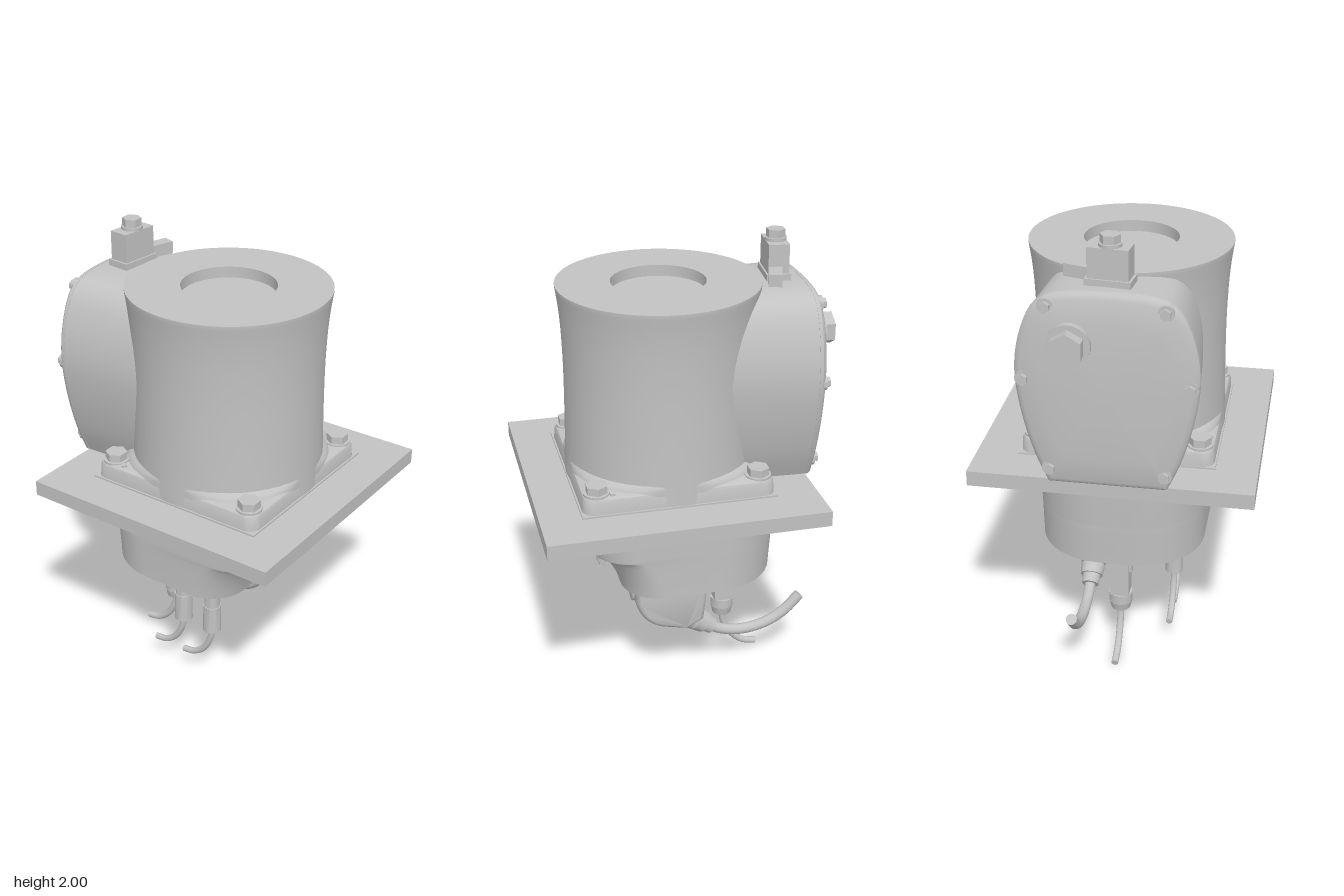
import * as THREE from 'three';
import { toCreasedNormals } from 'three/addons/utils/BufferGeometryUtils.js';

const grey = new THREE.MeshStandardMaterial({ color: 0xc2c2c2 });
grey.name = 'housing grey';
const CX = 0.055; // axis of the drum

export function createModel() {
  const model = new THREE.Group();
  model.name = 'flangedHousing';

  const add = (name, geo, x = 0, y = 0, z = 0) => {
    const mesh = new THREE.Mesh(toCreasedNormals(geo, 0.6), grey);
    mesh.name = name;
    mesh.position.set(x, y, z);
    model.add(mesh);
    return mesh;
  };
  const box = (name, w, h, d, x, y, z) => add(name, new THREE.BoxGeometry(w, h, d), x, y, z);
  // Upright cylinder or prism between two heights
  const post = (name, r, y0, y1, x, z, sides = 24, rTop = r) =>
    add(name, new THREE.CylinderGeometry(rTop, r, y1 - y0, sides), x, (y0 + y1) / 2, z);
  // Cylinder along x between two positions
  const peg = (name, r, x0, x1, y, z, sides = 24) => {
    const g = new THREE.CylinderGeometry(r, r, x1 - x0, sides);
    if (sides === 6) g.rotateY(Math.PI / 2);
    return add(name, g.rotateZ(Math.PI / 2), (x0 + x1) / 2, y, z);
  };
  const cable = (name, r, pts) => {
    const path = new THREE.CatmullRomCurve3(pts.map(p => new THREE.Vector3(...p)));
    add(name, new THREE.TubeGeometry(path, 40, r, 14));
    for (const t of [0, 1]) {
      const end = add(name + 'End', new THREE.CircleGeometry(r, 14));
      end.position.copy(path.getPoint(t));
      end.lookAt(end.position.clone().addScaledVector(path.getTangent(t), t ? 1 : -1));
    }
  };

  // Skin through equal rings, wound counter-clockwise about the loft direction
  const loft = rings => {
    const n = rings[0].length, index = [], pos = rings.flat(2);
    rings.slice(1).forEach((_, k) => {
      for (let i = 0; i < n; i++) {
        const a = k * n + i, b = k * n + (i + 1) % n;
        index.push(a, b, b + n, a, b + n, a + n);
      }
    });
    [0, rings.length - 1].forEach((k, top) => {
      const c = pos.length / 3;
      for (let j = 0; j < 3; j++) pos.push(rings[k].reduce((s, p) => s + p[j], 0) / n);
      for (let i = 0; i < n; i++) {
        const a = k * n + i, b = k * n + (i + 1) % n;
        index.push(c, ...(top ? [a, b] : [b, a]));
      }
    });
    const g = new THREE.BufferGeometry();
    g.setAttribute('position', new THREE.Float32BufferAttribute(pos, 3));
    g.setIndex(index);
    return g;
  };
  // Horizontal rounded rectangle, with its own corner radius on the -x and +x sides
  const rounded = (y, x0, x1, h, r0, r1 = r0) => {
    const ring = [];
    [[x1 - r1, -1, r1], [x0 + r0, -1, r0], [x0 + r0, 1, r0], [x1 - r1, 1, r1]].forEach(([x, side, r], q) => {
      for (let i = 0; i <= 10; i++) {
        const a = (q + i / 10) * Math.PI / 2;
        ring.push([x + r * Math.cos(a), y, side * (h - r) - r * Math.sin(a)]);
      }
    });
    return ring;
  };

  // Flared drum with a shallow round recess on top
  const outer = new THREE.SplineCurve([[0.402, 1], [0.396, 1.2], [0.393, 1.45], [0.397, 1.62],
    [0.405, 1.73], [0.416, 1.815]].map(p => new THREE.Vector2(...p))).getPoints(24);
  const inner = [[0.416, 1.822], [0.193, 1.822], [0.193, 1.775], [0, 1.775]].map(p => new THREE.Vector2(...p));
  add('drum', new THREE.LatheGeometry([...outer, ...inner], 80), CX);

  // Mounting plate, gasket, rounded square flange and the fillet up to the drum
  box('mountingPlate', 1.15, 0.065, 1.156, CX, 0.9675, 0);
  box('gasket', 0.806, 0.008, 0.81, CX + 0.002, 1.003, 0);
  const square = ([y, h, r]) => rounded(y, CX - h, CX + h, h, r);
  add('flange', loft([[1, 0.398, 0.05], [1.055, 0.395, 0.05], [1.068, 0.39, 0.05], [1.074, 0.38, 0.05]].map(square)));
  add('drumFillet', loft([[1.05, 0.395, 0.3], [1.078, 0.395, 0.32], [1.09, 0.395, 0.35], [1.1, 0.394, 0.38]].map(square)));
  for (const sx of [-1, 1]) for (const sz of [-1, 1]) {
    const x = CX + sx * 0.335, z = sz * 0.335;
    post('flangeWasher', 0.054, 1.07, 1.08, x, z);
    post('flangeBolt', 0.046, 1.08, 1.112, x, z, 6);
    post('plateScrew', 0.013, 0.931, 0.936, CX + sx * 0.43, sz * 0.42, 12);
  }
  post('dowelPin', 0.012, 1.07, 1.082, 0.33, -0.365, 12);
  post('dowelPin', 0.012, 1.07, 1.082, -0.215, 0.365, 12);

  // Lower housing, undercut along its left side
  add('lowerHousing', loft([[0.545, -0.41, 0.27, 0.35], [0.6, -0.413, 0.285, 0.35],
    [0.65, -0.416, 0.31, 0.351], [0.7, -0.419, 0.34, 0.351], [0.722, -0.42, 0.365, 0.352],
    [0.73, -0.42, 0.395, 0.352], [0.74, -0.421, 0.4, 0.352], [0.94, -0.43, 0.402, 0.357]]
    .map(([y, x0, x1, h]) => rounded(y, x0, x1, h, 0.28, 0.17))));
  for (const z of [-0.22, 0.22]) {
    post('undercutScrew', 0.022, 0.695, 0.73, 0.355, z);
    post('undercutScrewHead', 0.015, 0.672, 0.7, 0.355, z, 6);
  }

  // Bulging side housing, narrowing toward the drum
  const half = [[0.235, 1], [0.29, 1.13], [0.335, 1.3], [0.355, 1.47], [0.335, 1.62], [0.28, 1.745], [0.19, 1.798]];
  const outline = new THREE.SplineCurve([...half, [0, 1.81], ...half.map(([z, y]) => [-z, y]).reverse()]
    .map(p => new THREE.Vector2(...p))).getPoints(60);
  const section = (x, sz, sy) => outline.map(p => [x, 1.41 + (p.y - 1.41) * sy, p.x * sz]);
  add('sideHousing', loft([[-0.16, 0.905, 1], [-0.3, 0.95, 1], [-0.525, 1, 1]].map(s => section(...s))));
  add('sideCover', loft([[-0.52, 1.003, 1.003], [-0.534, 1, 1], [-0.545, 0.975, 0.98], [-0.553, 0.93, 0.94],
    [-0.565, 0.7, 0.7], [-0.572, 0.4, 0.4], [-0.575, 0.1, 0.1]].map(s => section(...s))));
  for (const s of [-1, 1]) for (const [y, z] of [[1.75, 0.225], [1.45, 0.32], [1.07, 0.225]]) {
    peg('coverBoss', 0.032, -0.555, -0.5, y, s * z);
    peg('coverScrew', 0.022, -0.572, -0.55, y, s * z, 6);
  }
  peg('plugCollar', 0.086, -0.59, -0.55, 1.61, -0.135, 32);
  peg('plugHead', 0.068, -0.635, -0.588, 1.61, -0.135, 6);

  // Top bracket with bolt and a side arm
  box('bracketFoot', 0.1, 0.04, 0.18, -0.43, 1.815, 0).rotation.y = -0.1;
  box('bracketBlock', 0.085, 0.14, 0.16, -0.43, 1.885, 0).rotation.y = -0.1;
  box('bracketArm', 0.055, 0.05, 0.12, -0.395, 1.84, -0.12).rotation.y = -0.3;
  post('bracketWasher', 0.045, 1.95, 1.968, -0.43, 0);
  post('bracketBolt', 0.04, 1.965, 2, -0.43, 0, 6);

  // Two straight connectors with drooping cables
  for (const x of [-0.035, 0.12]) {
    post('connectorNut', 0.042, 0.525, 0.55, x, 0.21, 6);
    post('connectorNeck', 0.034, 0.41, 0.53, x, 0.21);
    post('connectorSleeve', 0.04, 0.29, 0.42, x, 0.21, 24, 0.038);
    cable('connectorCable', 0.014, [[x, 0.3, 0.21], [x - 0.008, 0.24, 0.21], [x - 0.045, 0.165, 0.21],
      [x - 0.1, 0.122, 0.21], [x - 0.155, 0.112, 0.21]]);
  }

  // Square connector with cable gland
  box('squareConnectorTop', 0.1, 0.04, 0.06, -0.235, 0.53, 0);
  box('squareConnector', 0.085, 0.24, 0.08, -0.235, 0.41, 0);
  post('squareConnectorButton', 0.018, 0.4, 0.44, -0.235, 0.035);
  post('glandNut', 0.052, 0.245, 0.29, -0.235, 0, 12);
  post('glandCap', 0.042, 0.21, 0.25, -0.235, 0, 24, 0.052);
  cable('squareConnectorCable', 0.015, [[-0.235, 0.22, 0], [-0.243, 0.16, 0], [-0.28, 0.085, 0],
    [-0.335, 0.035, 0], [-0.4, 0.018, 0]]);

  // Elbow housing, narrowing downward, with round cap, gland and thick cable
  const elbow = new THREE.Shape();
  elbow.moveTo(-0.085, 0.55);
  elbow.lineTo(-0.075, 0.44);
  elbow.lineTo(-0.07, 0.35);
  elbow.lineTo(-0.015, 0.3);
  elbow.lineTo(0.09, 0.335);
  elbow.quadraticCurveTo(0.18, 0.38, 0.195, 0.47);
  elbow.lineTo(0.195, 0.55);
  const elbowGeo = new THREE.ExtrudeGeometry(elbow, { depth: 0.13, bevelSize: 0.02,
    bevelThickness: 0.04, bevelSegments: 5, curveSegments: 12 }).translate(0, 0, -0.065);
  const p = elbowGeo.attributes.position;
  for (let i = 0; i < p.count; i++) {
    const drop = Math.max(0, 0.42 - p.getY(i)) / 0.14;
    p.setZ(i, p.getZ(i) * (1 - 0.45 * drop * drop));
  }
  add('elbowHousing', elbowGeo, 0, 0, -0.155);
  peg('elbowCap', 0.046, 0.18, 0.222, 0.485, -0.155, 20);
  const slant = Math.atan2(0.13, 0.09);
  for (const [name, r, len, x, y] of [['elbowGlandNeck', 0.062, 0.07, -0.035, 0.32],
    ['elbowGlandNut', 0.055, 0.05, -0.09, 0.282], ['elbowGlandCap', 0.042, 0.05, -0.125, 0.258]]) {
    add(name, new THREE.CylinderGeometry(r, r * 0.9, len, 16), x, y, -0.155).rotation.z = -slant;
  }
  cable('elbowCable', 0.024, [[-0.11, 0.268, -0.155], [-0.18, 0.223, -0.155], [-0.28, 0.203, -0.155],
    [-0.39, 0.22, -0.155], [-0.48, 0.27, -0.155], [-0.552, 0.345, -0.155]]);

  // Small fittings under the lower housing
  for (const [x, z] of [[-0.135, 0.12], [-0.2, 0.035], [-0.235, -0.125]]) {
    post('bottomFitting', 0.03, 0.515, 0.55, x, z, 6);
    post('bottomFittingTip', 0.017, 0.49, 0.52, x, z, 12);
  }
  return model;
}
